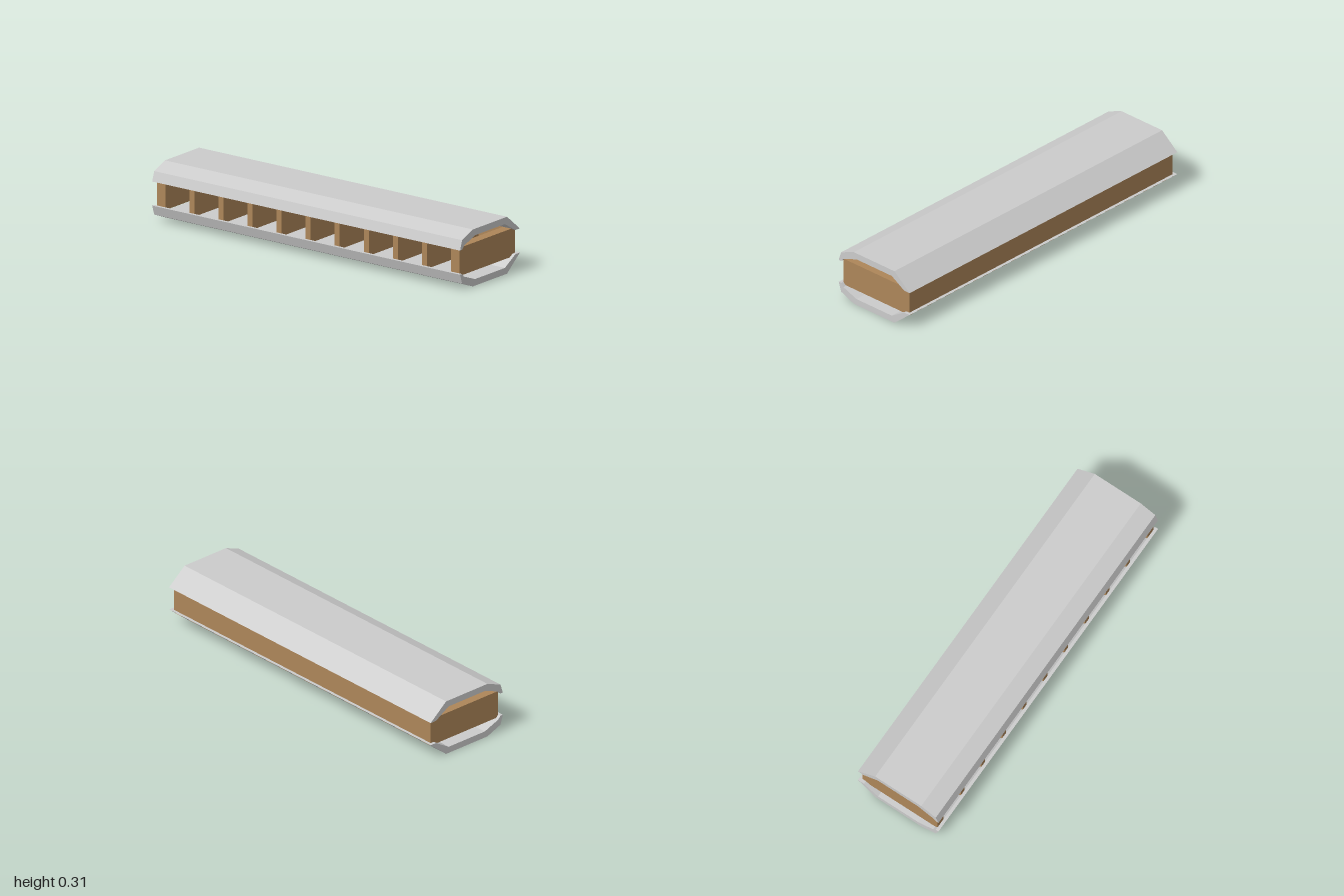
import * as THREE from 'three';

const HEIGHT = 0.305;

// Cross-section of the upper shell as [z, y]
const SHELL = [
  [0.25, 0.217], [0.233, 0.269], [0.143, 0.305], [-0.143, 0.305], [-0.25, 0.217],
  [-0.213, 0.217], [-0.125, 0.27], [0.125, 0.27], [0.217, 0.235], [0.233, 0.217],
];

function extrude(points, depth) {
  const shape = new THREE.Shape(points.map(([a, b]) => new THREE.Vector2(a, b)));
  return new THREE.ExtrudeGeometry(shape, { depth, bevelEnabled: false });
}

function part(name, geometry, material) {
  const mesh = new THREE.Mesh(geometry, material);
  mesh.name = name;
  return mesh;
}

export function createModel() {
  const group = new THREE.Group();
  group.name = 'shelledRack';
  const grey = new THREE.MeshStandardMaterial({ color: 0xcccccc, flatShading: true });
  const wood = new THREE.MeshStandardMaterial({ color: 0xad8659, flatShading: true });

  // Faceted shells running the full length, the lower one mirrored
  const shell = (points) => extrude(points, 2).rotateY(-Math.PI / 2).translate(1, 0, 0);
  group.add(part('upperShell', shell(SHELL), grey));
  group.add(part('lowerShell', shell(SHELL.map(([z, y]) => [z, HEIGHT - y])), grey));

  // Comb-shaped rack: back panel, end walls and dividers around ten open cells
  const front = 0.233, inner = -0.198, end = 0.982;
  const cells = 10, pitch = 0.1888, cellWidth = 0.156;
  const plan = [[-end, -front], [-end, front]];
  for (let i = 0; i < cells; i++) {
    const mid = (i - (cells - 1) / 2) * pitch;
    const a = mid - cellWidth / 2, b = mid + cellWidth / 2;
    plan.push([a, front], [a, inner], [b, inner], [b, front]);
  }
  plan.push([end, front], [end, -front]);
  const rack = extrude(plan, 0.151).rotateX(Math.PI / 2).translate(0, 0.224, 0);
  group.add(part('dividedRack', rack, wood));

  return group;
}
